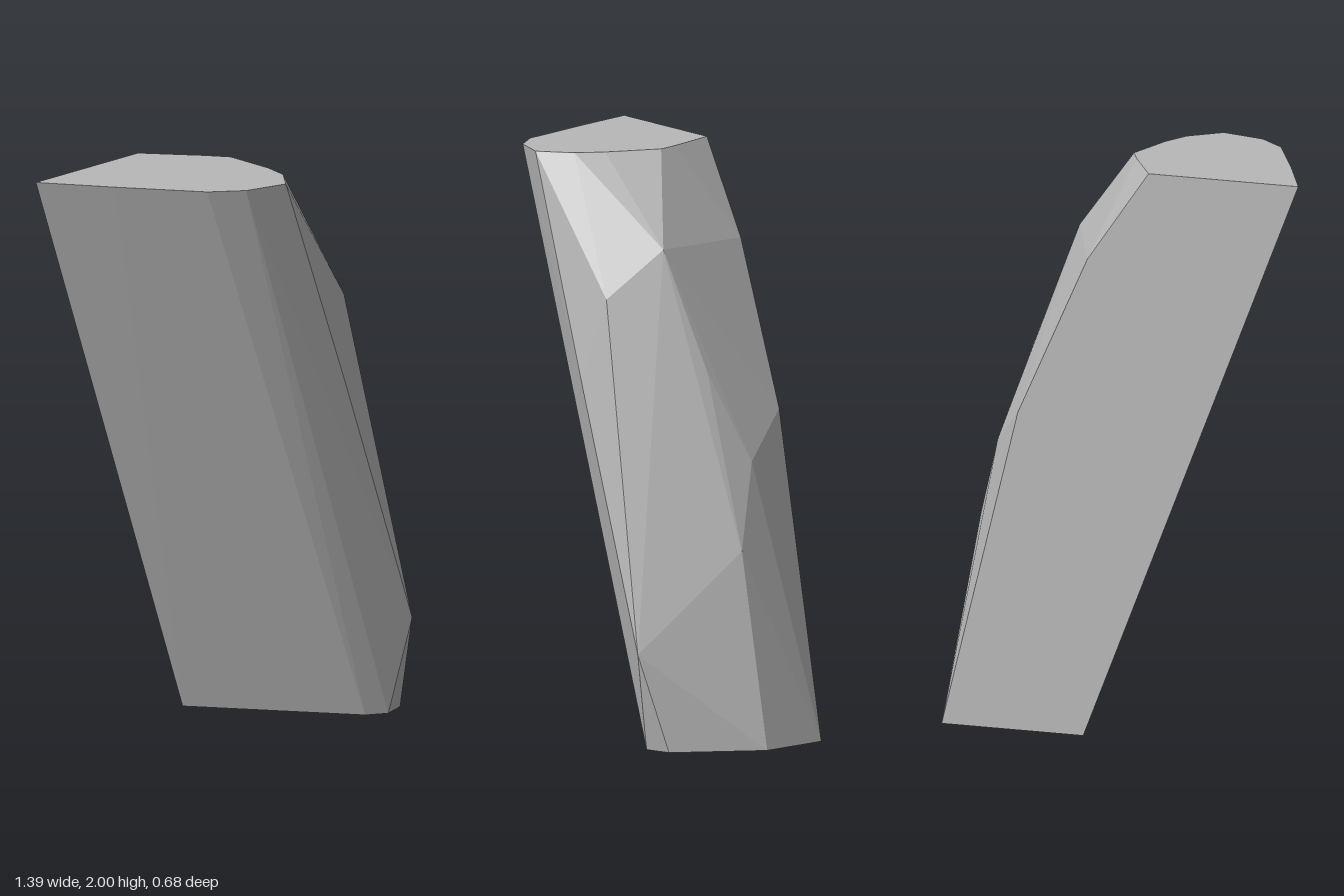
import * as THREE from 'three';
import { ConvexGeometry } from 'three/addons/geometries/ConvexGeometry.js';

// A leaning, faceted stone shard: flat top, base and back, chipped front and right flank.
export function createModel() {
  const group = new THREE.Group();
  group.name = 'stoneShard';

  const stone = new THREE.MeshStandardMaterial({ color: 0xb8b8b8, flatShading: true });
  stone.name = 'grey stone';

  // Flat caps as [x, z] outlines
  const top = [[-0.7, -0.34], [-0.58, -0.09], [-0.43, 0.2], [-0.33, 0.29], [-0.17, 0.335],
    [-0.07, 0.24], [-0.03, 0.14], [0.01, -0.06], [-0.03, -0.14], [-0.15, -0.34]];
  const base = [[0.09, -0.34], [0.39, 0.225], [0.46, 0.27], [0.56, 0.24], [0.69, -0.075], [0.61, -0.34]];

  // Corners of the chipped flank as [x, y, z]
  const flank = [
    [0.075, 1.68, -0.34], [0.33, 1.12, -0.34], // back edge
    [0.265, 1.695, 0.085], [0.4, 1.28, -0.01], [0.48, 0.97, -0.14], [0.58, 0.68, -0.04], // outer ridge
    [0.21, 1.53, 0.28], [0.33, 1.35, 0.15], // front shoulder
    [0.14, 1.25, 0.34], [0.51, 0.34, 0.335], // front ridge
  ];

  const points = [
    ...top.map(([x, z]) => new THREE.Vector3(x, 2, z)),
    ...base.map(([x, z]) => new THREE.Vector3(x, 0, z)),
    ...flank.map((p) => new THREE.Vector3(...p)),
  ];

  const shard = new THREE.Mesh(new ConvexGeometry(points), stone);
  shard.name = 'shard';
  group.add(shard);
  return group;
}
